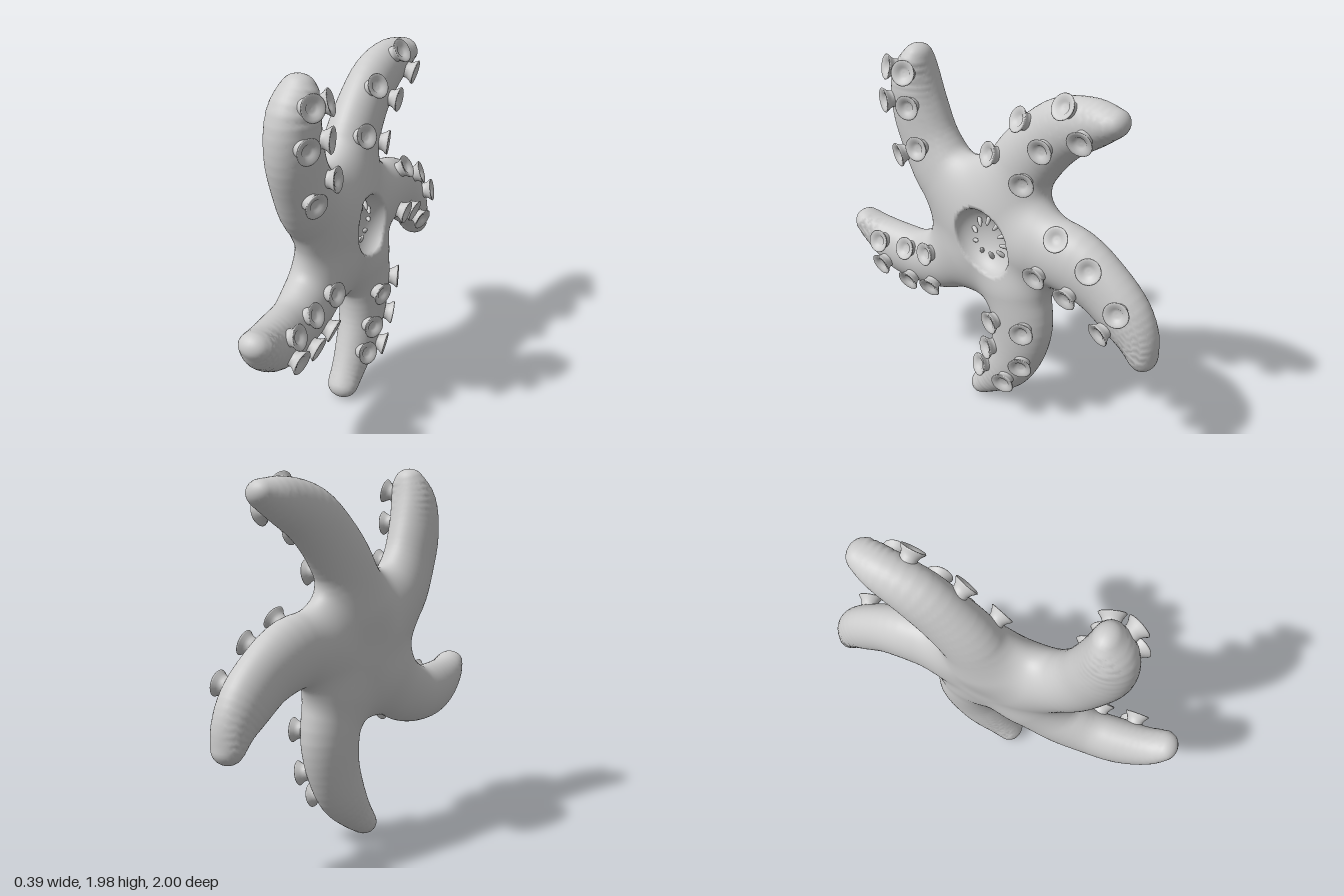
import * as THREE from 'three';

const V = (x, y, z) => new THREE.Vector3(x, y, z);

// Arm centrelines, root to tip: [z, y, radius]; lean = x offset that fades out at the tip
const ARMS = [
  { lean: -.03, path: [[.14, 1.15, .19], [.327, 1.294, .19], [.434, 1.455, .172], [.493, 1.617, .163], [.51, 1.775, .132], [.479, 1.908, .07]] },
  { lean: -.05, path: [[-.064, 1.257, .19], [-.145, 1.445, .18], [-.263, 1.6, .165], [-.397, 1.717, .15], [-.56, 1.786, .115], [-.685, 1.82, .066]] },
  { lean: 0, path: [[-.3, 1.08, .19], [-.504, 1.06, .182], [-.67, .985, .16], [-.804, .878, .143], [-.885, .78, .108], [-.932, .674, .067]] },
  { lean: .005, path: [[-.17, .79, .19], [-.204, .588, .177], [-.182, .428, .16], [-.118, .278, .14], [-.027, .16, .102], [.06, .07, .068]] },
  { lean: -.04, path: [[.18, .88, .19], [.354, .77, .18], [.515, .718, .16], [.676, .722, .15], [.836, .776, .108], [.933, .844, .065]] },
].map(({ lean, path }) => ({
  lean,
  pts: new THREE.CatmullRomCurve3(path.map((p) => V(...p))).getPoints(20),
}));

// Sucker positions per arm: [z, y]
const SUCKERS = [
  [[.585, 1.86], [.46, 1.85], [.62, 1.68], [.445, 1.68], [.547, 1.39], [.39, 1.47]],
  [[-.45, 1.895], [-.18, 1.775], [-.575, 1.73], [-.365, 1.64], [-.027, 1.555], [-.263, 1.44]],
  [[-.48, 1.225], [-.67, 1.12], [-.836, .95], [-.745, .8], [-.557, .945], [-.386, 1.01]],
  [[-.118, .625], [-.295, .63], [-.064, .425], [-.284, .4], [-.005, .285], [-.177, .255]],
  [[.735, .81], [.547, .827], [.375, .85], [.724, .66], [.53, .61], [.365, .625]],
];

const MOUTH = { z: -.03, y: 1.06 };

function smoothMin(a, b, k) {
  const h = Math.max(k - Math.abs(a - b), 0) / k;
  return Math.min(a, b) - h * h * k * 0.25;
}

function ellipsoid(x, y, z, a, b, c) {
  const k0 = Math.hypot(x / a, y / b, z / c);
  const k1 = Math.hypot(x / a / a, y / b / b, z / c / c);
  return k1 < 1e-6 ? -Math.min(a, b, c) : k0 * (k0 - 1) / k1;
}

// Distance to one tapered, curved arm: flattened in x at the root, round at the tip
function armDistance({ pts, lean }, x, y, z) {
  let best = 9;
  const n = pts.length - 1;
  for (let i = 0; i < n; i++) {
    const a = pts[i], b = pts[i + 1];
    const dz = b.x - a.x, dy = b.y - a.y, len = Math.sqrt(dz * dz + dy * dy);
    const pz = z - a.x, py = y - a.y;
    const along = (pz * dz + py * dy) / len;
    const side = (pz * dy - py * dz) / len;
    const u = (i + Math.min(1, Math.max(0, along / len))) / n;
    const px = (x - lean * (1 - u ** 3)) / (.75 + .48 * u ** 5);
    const rho = Math.sqrt(px * px + side * side);
    // slide along the axis so the taper stays smooth
    const k = Math.max(-.85, Math.min(.85, (b.z - a.z) / len));
    const s = Math.min(len, Math.max(0, along + rho * k / Math.sqrt(1 - k * k)));
    const d = Math.sqrt(rho * rho + (along - s) * (along - s));
    best = Math.min(best, d - a.z - (b.z - a.z) * s / len);
  }
  return best * .78;
}

// Whole body: disc blended with the arms, minus the mouth hollow
function field(x, y, z) {
  let d = ellipsoid(x + .02, y - 1.06, z, .162, .41, .41);
  for (const arm of ARMS) d = smoothMin(d, armDistance(arm, x, y, z), .075);
  const my = y - MOUTH.y, mz = z - MOUTH.z;
  const hollow = ellipsoid(x - .14, my * .77 + mz * .63, my * .63 - mz * .77, .115, .188, .153);
  return -smoothMin(-d, hollow, .014);
}

function gradient(p, e = .004) {
  return V(
    field(p.x + e, p.y, p.z) - field(p.x - e, p.y, p.z),
    field(p.x, p.y + e, p.z) - field(p.x, p.y - e, p.z),
    field(p.x, p.y, p.z + e) - field(p.x, p.y, p.z - e),
  ).divideScalar(2 * e);
}

// Move a point onto the skin and return the normal there
function snap(p, steps) {
  for (let i = 0; i < steps; i++) {
    const g = gradient(p);
    const move = -field(p.x, p.y, p.z) / Math.max(g.lengthSq(), .3);
    p.addScaledVector(g, Math.max(-.04, Math.min(.04, move)));
  }
  return gradient(p).normalize();
}

// Skin the field with one vertex per crossed grid cell
function bodyGeometry() {
  const s = .0175, min = [-.27, -.05, -1.05], n = [30, 121, 121];
  const step = [1, n[0], n[0] * n[1]];
  const val = new Float32Array(n[0] * n[1] * n[2]);
  const each = (from, to, fn) => {
    for (let k = from; k < n[2] - to; k++)
      for (let j = from; j < n[1] - to; j++)
        for (let i = from; i < n[0] - to; i++) fn([i, j, k], i + j * step[1] + k * step[2]);
  };
  each(0, 0, (c, id) => {
    val[id] = field(min[0] + c[0] * s, min[1] + c[1] * s, min[2] + c[2] * s);
  });

  const pos = [], nor = [], index = [], vert = new Map();
  each(0, 1, (c, id) => {
    const sum = V(0, 0, 0);
    let hits = 0;
    for (let corner = 0; corner < 8; corner++) {
      const o = [corner & 1, (corner >> 1) & 1, corner >> 2];
      const a = id + o[0] + o[1] * step[1] + o[2] * step[2];
      for (let ax = 0; ax < 3; ax++) {
        if (o[ax]) continue;
        const va = val[a], vb = val[a + step[ax]];
        if ((va < 0) === (vb < 0)) continue;
        const q = [...o];
        q[ax] = va / (va - vb);
        sum.add(V(...q));
        hits++;
      }
    }
    if (!hits) return;
    const p = sum.divideScalar(hits).add(V(...c)).multiplyScalar(s).add(V(...min));
    const normal = snap(p, 1);
    vert.set(id, pos.length / 3);
    pos.push(p.x, p.y, p.z);
    nor.push(normal.x, normal.y, normal.z);
  });

  each(1, 1, (c, id) => {
    for (let ax = 0; ax < 3; ax++) {
      const inside = val[id] < 0;
      if (inside === (val[id + step[ax]] < 0)) continue;
      const b = step[(ax + 1) % 3], d = step[(ax + 2) % 3];
      const q = [id - b - d, id - d, id, id - b].map((v) => vert.get(v));
      if (!inside) q.reverse();
      index.push(q[0], q[1], q[2], q[0], q[2], q[3]);
    }
  });

  const geo = new THREE.BufferGeometry();
  geo.setAttribute('position', new THREE.Float32BufferAttribute(pos, 3));
  geo.setAttribute('normal', new THREE.Float32BufferAttribute(nor, 3));
  geo.setIndex(index);
  return geo;
}

export function createModel() {
  const group = new THREE.Group();
  const material = new THREE.MeshStandardMaterial({ color: 0xcccccc });
  const add = (parent, geo, name, p, axis) => {
    const mesh = new THREE.Mesh(geo, material);
    mesh.name = name;
    if (p) mesh.position.copy(p);
    if (axis) mesh.quaternion.setFromUnitVectors(V(0, 1, 0), axis);
    parent.add(mesh);
  };

  add(group, bodyGeometry(), 'body');

  // Flared suction cups with a shallow dished face
  const cup = new THREE.LatheGeometry([
    [.044, -.03], [.043, .008], [.05, .025], [.062, .04], [.065, .046], [.061, .05],
    [.05, .046], [.034, .041], [.028, .033], [.015, .03], [0, .029],
  ].map(([r, y]) => new THREE.Vector2(r, y)), 28);
  const suckers = new THREE.Group();
  suckers.name = 'suckers';
  group.add(suckers);
  for (const [z, y] of SUCKERS.flat()) {
    const p = V(.12, y, z);
    const axis = snap(p, 8).add(V(.25, 0, 0)).normalize();
    add(suckers, cup, 'sucker', p, axis);
  }

  // Ring of small rounded teeth leaning inwards from the mouth wall
  const tooth = new THREE.SphereGeometry(1, 12, 10).scale(.012, .034, .012);
  const teeth = new THREE.Group();
  teeth.name = 'teeth';
  group.add(teeth);
  for (let i = 0; i < 10; i++) {
    const a = i / 10 * Math.PI * 2 + .2;
    const out = V(0, Math.sin(a), Math.cos(a));
    const p = V(.06, MOUTH.y, MOUTH.z).addScaledVector(out, .11);
    snap(p, 4);
    const axis = out.multiplyScalar(-.85).add(V(.53, 0, 0)).normalize();
    add(teeth, tooth, 'tooth', p.addScaledVector(axis, .014), axis);
  }
  return group;
}
